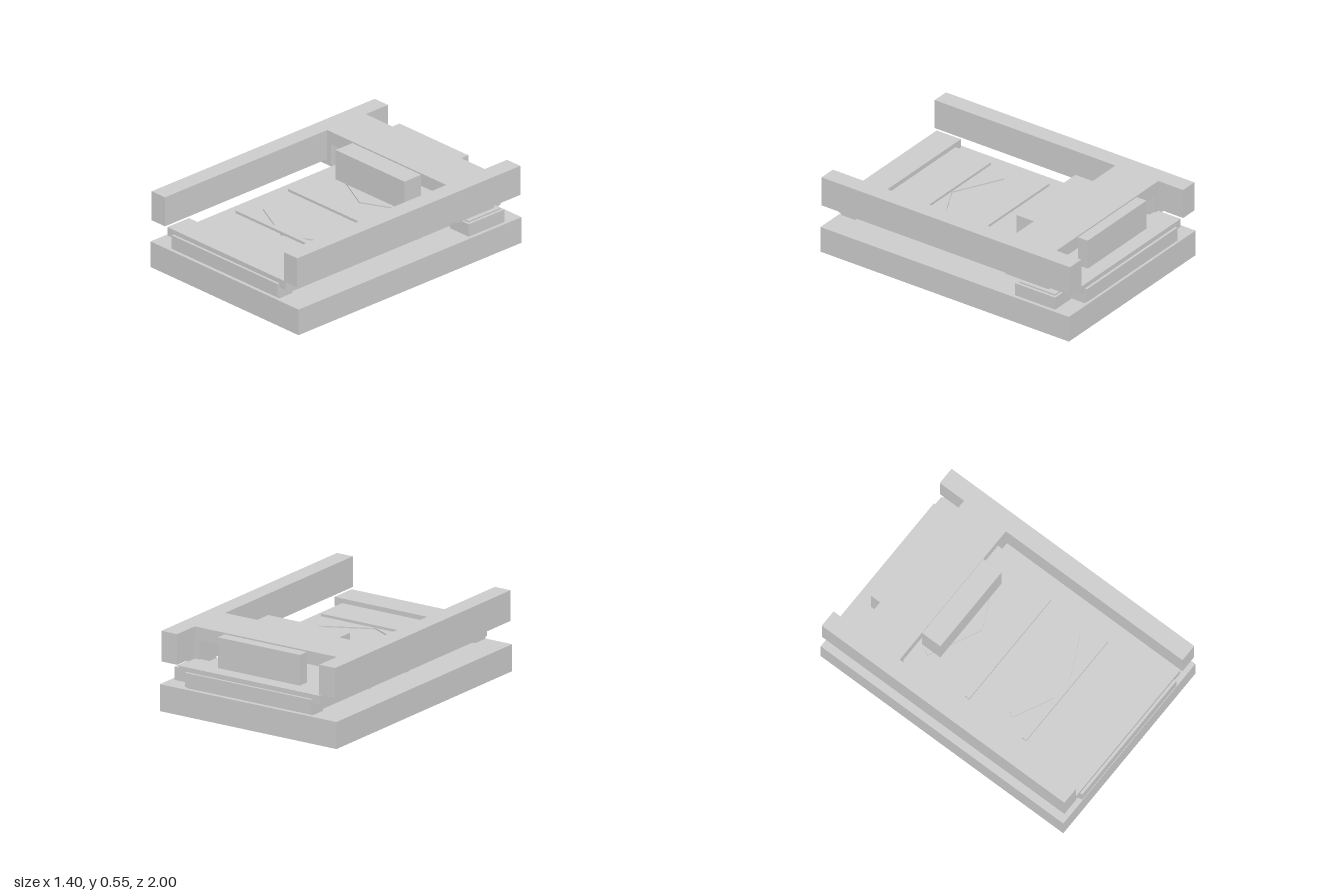
import * as THREE from 'three';

const material = new THREE.MeshStandardMaterial({ color: 0xcccccc, flatShading: true });

export function createModel() {
  const model = new THREE.Group();
  model.name = 'layeredBed';

  // Box given by its extents along each axis
  const box = (name, [x0, x1], [y0, y1], [z0, z1]) => {
    const mesh = new THREE.Mesh(new THREE.BoxGeometry(x1 - x0, y1 - y0, z1 - z0), material);
    mesh.position.set((x0 + x1) / 2, (y0 + y1) / 2, (z0 + z1) / 2);
    mesh.name = name;
    model.add(mesh);
    return mesh;
  };

  // Base and moving bed
  box('base', [-0.7, 0.7], [0, 0.185], [-1, 1]);
  box('bed', [-0.5, 0.5], [0.203, 0.3], [-1, 1]);

  // End clamps over the bed and spacers beneath it
  for (const s of [-1, 1]) {
    const span = (a, b) => (s > 0 ? [a, b] : [-b, -a]);
    box('endClamp', [-0.56, 0.56], [0.272, 0.332], span(0.787, 0.982));
    box('bedSpacer', [-0.5, 0.5], [0.19, 0.204], span(0.865, 0.982));
  }

  // Rollers sunk in the base
  for (const z of [0.13, -0.295]) {
    const roller = new THREE.Mesh(new THREE.CylinderGeometry(0.03, 0.03, 0.95, 24), material);
    roller.rotation.z = Math.PI / 2;
    roller.position.set(0, 0.166, z);
    roller.name = 'roller';
    model.add(roller);
  }

  // Straight bars across the bed
  for (const z of [0, 0.47]) {
    box('crossBar', [-0.435, 0.435], [0.312, 0.33], [z - 0.018, z + 0.018]);
  }

  // V-shaped guides lying on the bed
  const vShape = new THREE.Shape([
    [0, 0.49], [0.357, 0.315], [0.337, 0.278], [0, 0.45], [-0.337, 0.278], [-0.357, 0.315],
  ].map(([x, z]) => new THREE.Vector2(x, -z)));
  for (const z of [0, -0.7]) {
    const guide = new THREE.Mesh(
      new THREE.ExtrudeGeometry(vShape, { depth: 0.009, bevelEnabled: false }), material);
    guide.rotation.x = -Math.PI / 2;
    guide.position.set(0, 0.303, z);
    guide.name = 'vGuide';
    model.add(guide);
  }

  // Side rails and the gantry's legs
  for (const s of [-1, 1]) {
    const span = (a, b) => (s > 0 ? [a, b] : [-b, -a]);
    box('sideRail', span(0.563, 0.688), [0.342, 0.552], [-1, 1]);
    box('gantryLeg', span(0.525, 0.65), [0.302, 0.47], [-0.8, -0.455]);
  }

  // Gantry beam with a head in front and a housing behind
  box('gantryBeam', [-0.565, 0.565], [0.462, 0.552], [-0.8, -0.455]);
  box('frontHead', [-0.325, 0.325], [0.33, 0.542], [-0.456, -0.305]);
  box('rearHousing', [-0.325, 0.325], [0.33, 0.542], [-0.878, -0.799]);

  // Control box with its top panel, on the left side only
  box('controlBox', [0.5, 0.675], [0.185, 0.275], [-0.872, -0.55]);
  box('controlPanel', [0.555, 0.655], [0.275, 0.285], [-0.855, -0.568]);

  return model;
}
